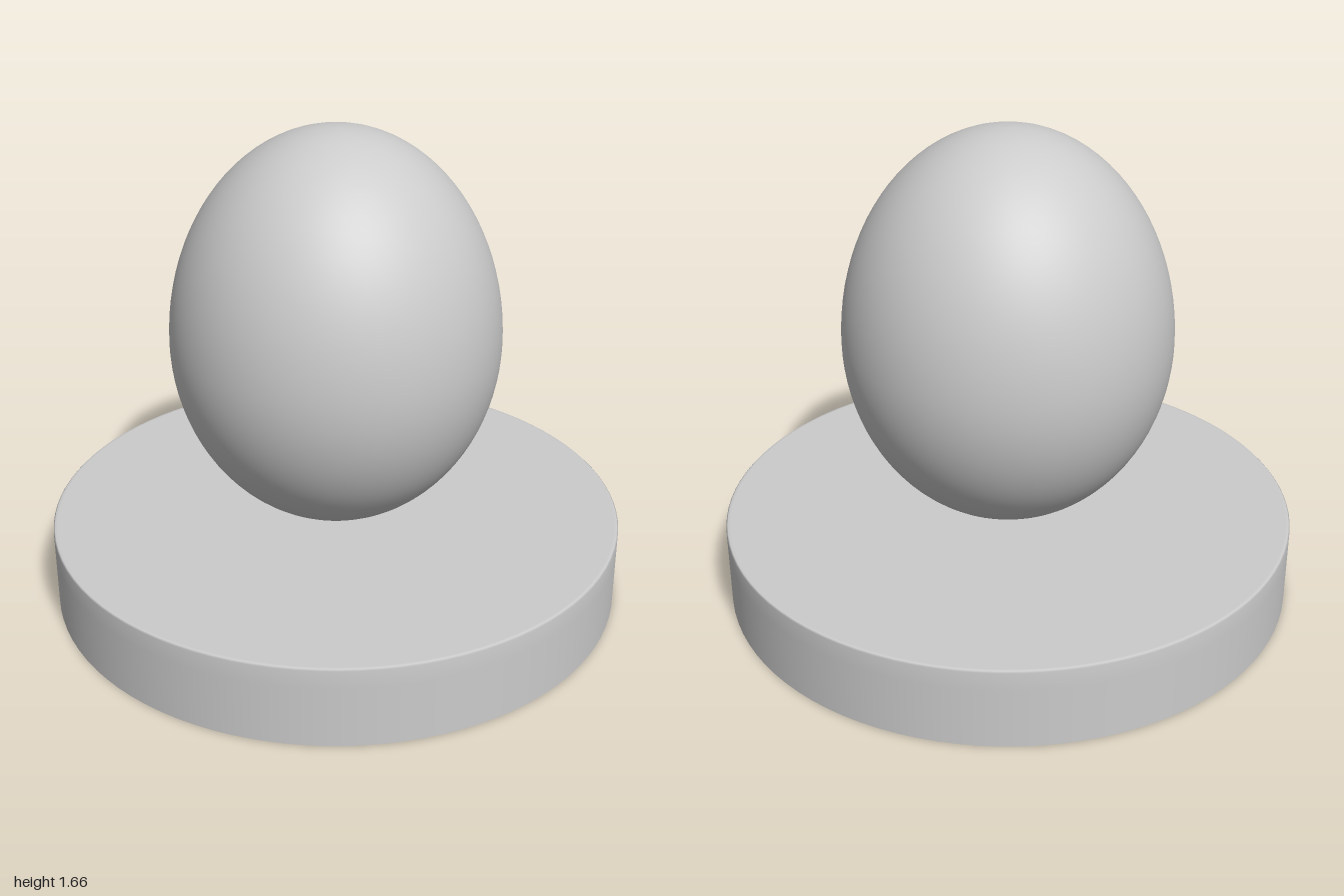
import * as THREE from 'three';

const V = (x, y) => new THREE.Vector2(x, y);

export function createModel() {
  const group = new THREE.Group();
  const material = new THREE.MeshStandardMaterial({ color: 0xcccccc });
  const shellMaterial = new THREE.MeshStandardMaterial({ color: 0xcccccc, side: THREE.DoubleSide });

  // Round base: thin shell, open underneath, with a softened top rim
  const baseProfile = [V(1, 0), V(1, 0.21), V(1, 0.275), V(0.995, 0.28), V(0.985, 0.28), V(0, 0.28)];
  const base = new THREE.Mesh(new THREE.LatheGeometry(baseProfile, 96), shellMaterial);
  base.name = 'base';
  group.add(base);

  // Egg: two half ellipses, slightly taller above the widest point
  const radius = 0.565, middle = 0.935, above = 0.725, below = 0.653;
  const eggProfile = [];
  const steps = 48;
  for (let i = 0; i <= steps; i++) {
    const a = -Math.PI / 2 + (Math.PI * i) / steps;
    const r = i === 0 || i === steps ? 0 : radius * Math.cos(a);
    eggProfile.push(V(r, middle + Math.sin(a) * (a > 0 ? above : below)));
  }
  const egg = new THREE.Mesh(new THREE.LatheGeometry(eggProfile, 96), material);
  egg.name = 'egg';
  group.add(egg);

  return group;
}
